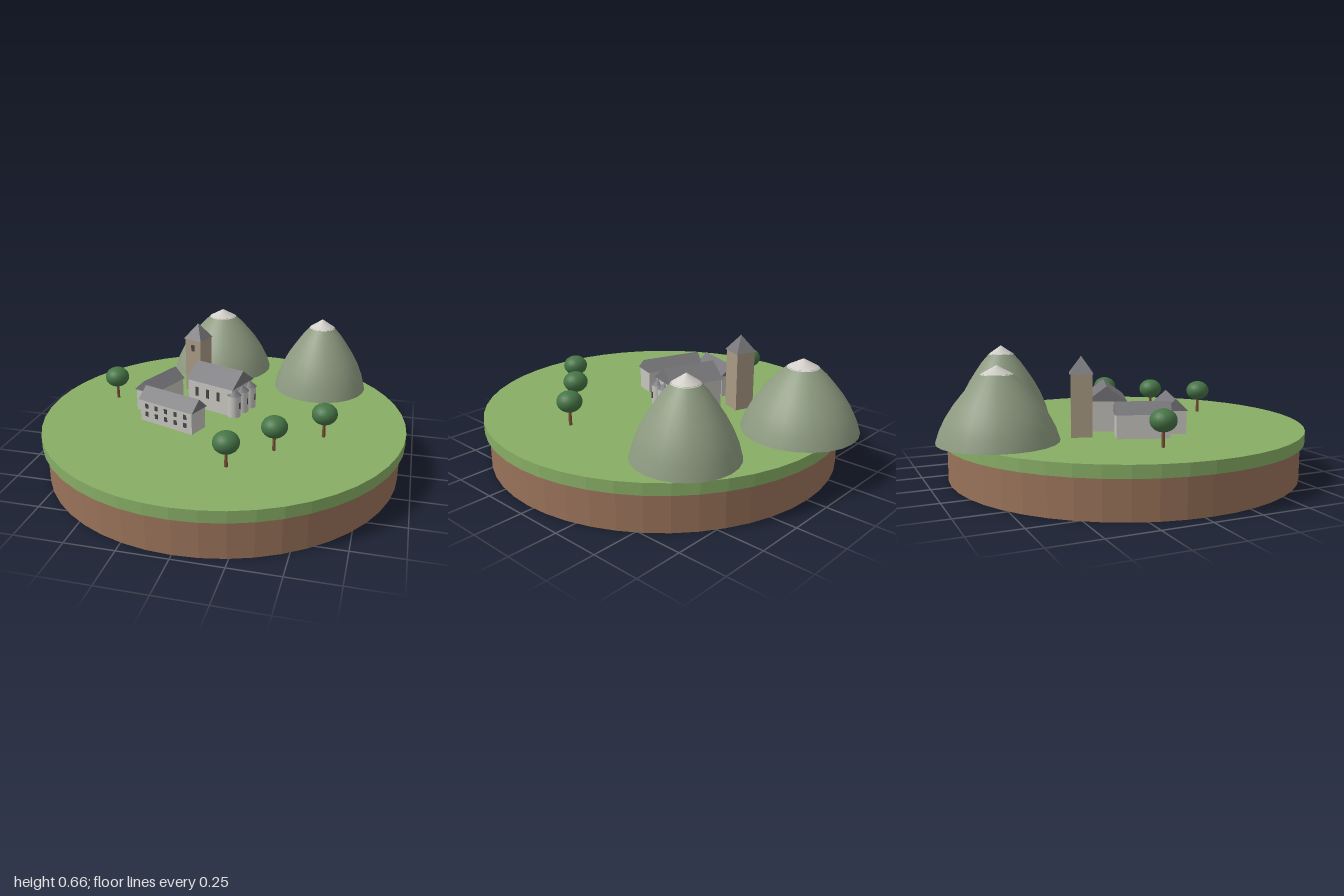
import * as THREE from 'three';

const mat = (name, color, extra = {}) => {
  const m = new THREE.MeshStandardMaterial({ color, ...extra });
  m.name = name;
  return m;
};

export function createModel() {
  const root = new THREE.Group();
  root.name = 'abbeyIsland';
  const M = {
    earth: mat('earth', 0x9a735a, { flatShading: true }),
    grass: mat('grass', 0x88ae66, { flatShading: true }),
    rock: mat('rock', 0x8d9a80),
    snow: mat('snow', 0xd2cec9),
    wall: mat('wall', 0xc6c4be),
    tower: mat('towerStone', 0xa99a84),
    roof: mat('roof', 0x77767a),
    glass: mat('windowDark', 0x45464a),
    leaf: mat('leaf', 0x467546),
    trunk: mat('trunk', 0x7a5036),
  };
  const GROUND = 0.256, TURN = -0.35;

  const add = (parent, name, geo, material, x = 0, y = 0, z = 0) => {
    const m = new THREE.Mesh(geo, material);
    m.name = name;
    m.position.set(x, y, z);
    parent.add(m);
    return m;
  };
  const group = (name, x, z, turn = 0) => {
    const g = new THREE.Group();
    g.name = name;
    g.position.set(x, GROUND, z);
    g.rotation.y = turn;
    root.add(g);
    return g;
  };

  // Round base
  add(root, 'earthBase', new THREE.CylinderGeometry(0.932, 0.932, 0.196, 48), M.earth, 0, 0.098, 0.037);
  add(root, 'grassDisc', new THREE.CylinderGeometry(0.955, 0.955, 0.061, 48), M.grass, 0, 0.2255, 0.037);

  // Mountains with pale caps
  const slope = [[1, 0], [0.93, 0.17], [0.83, 0.33], [0.7, 0.49], [0.56, 0.63], [0.41, 0.77], [0.25, 0.89]];
  const mountain = (x, z, r, h) => {
    const g = group('mountain', x, z);
    const pts = slope.map(([a, b]) => new THREE.Vector2(a * r, b * h));
    add(g, 'mountainSlope', new THREE.LatheGeometry(pts, 24), M.rock);
    const foot = add(g, 'mountainFoot', new THREE.CircleGeometry(r, 24), M.rock);
    foot.rotation.x = Math.PI / 2;
    add(g, 'mountainCap', new THREE.ConeGeometry(0.27 * r, 0.12 * h, 24), M.snow, 0, 0.94 * h, 0);
  };
  mountain(-0.195, -0.705, 0.295, 0.364);
  mountain(0.44, -0.51, 0.262, 0.405);

  // Trees
  for (const [x, z] of [[-0.64, -0.055], [0.55, 0.165], [0.335, 0.37], [0.15, 0.587]]) {
    const g = group('tree', x, z);
    add(g, 'treeTrunk', new THREE.CylinderGeometry(0.007, 0.009, 0.09, 8), M.trunk, 0, 0.045, 0);
    add(g, 'treeCrown', new THREE.SphereGeometry(0.065, 20, 14), M.leaf, 0, 0.126, 0).scale.y = 0.84;
  }

  // Gabled building, long side along its own x
  const house = (name, x, z, turn, len, wid, eaves, rise) => {
    const g = group(name, x, z, turn);
    add(g, name + 'Walls', new THREE.BoxGeometry(len - 0.014, eaves, wid - 0.014), M.wall, 0, eaves / 2, 0);
    const tri = new THREE.Shape();
    tri.moveTo(-wid / 2, 0);
    tri.lineTo(wid / 2, 0);
    tri.lineTo(0, rise);
    tri.closePath();
    const geo = new THREE.ExtrudeGeometry(tri, { depth: len, bevelEnabled: false });
    geo.translate(0, 0, -len / 2).rotateY(Math.PI / 2);
    add(g, name + 'Roof', geo, M.roof, 0, eaves, 0);
    return g;
  };
  const windowPane = (g, x, y, z, w, h) =>
    add(g, 'window', new THREE.BoxGeometry(w, h, 0.006), M.glass, x, y, z);

  // Nave with slit windows
  const nave = house('nave', -0.055, -0.093, TURN, 0.3, 0.208, 0.155, 0.077);
  for (const x of [-0.085, -0.015, 0.055]) windowPane(nave, x, 0.095, 0.098, 0.018, 0.05);

  // Three round apses on the end of the nave
  for (const z of [-0.075, 0, 0.075]) {
    const apse = new THREE.Group();
    apse.name = 'apse';
    apse.position.set(0.143, 0, z);
    nave.add(apse);
    add(apse, 'apseWall', new THREE.CylinderGeometry(0.035, 0.035, 0.12, 20), M.wall, 0, 0.06, 0);
    add(apse, 'apseRoof', new THREE.ConeGeometry(0.039, 0.032, 20), M.roof, 0, 0.136, 0);
    windowPane(apse, 0.034, 0.065, 0, 0.009, 0.035).rotation.y = Math.PI / 2;
  }

  // Cloister wings
  house('westWing', -0.38, -0.034, TURN - Math.PI / 2, 0.277, 0.128, 0.118, 0.058);
  const front = house('frontWing', -0.235, 0.198, TURN, 0.347, 0.129, 0.118, 0.058);
  for (let i = 0; i < 5; i++)
    for (const y of [0.043, 0.088]) windowPane(front, -0.124 + i * 0.062, y, 0.058, 0.018, 0.025);

  // Bell tower
  const tower = group('bellTower', -0.235, -0.296, TURN);
  add(tower, 'towerWalls', new THREE.BoxGeometry(0.105, 0.31, 0.105), M.tower, 0, 0.155, 0);
  const cap = new THREE.ConeGeometry(0.117 * Math.SQRT1_2, 0.085, 4, 1).toNonIndexed();
  cap.rotateY(Math.PI / 4);
  cap.computeVertexNormals();
  add(tower, 'towerRoof', cap, M.roof, 0, 0.3525, 0);
  windowPane(tower, 0, 0.262, 0.053, 0.02, 0.036);

  return root;
}
